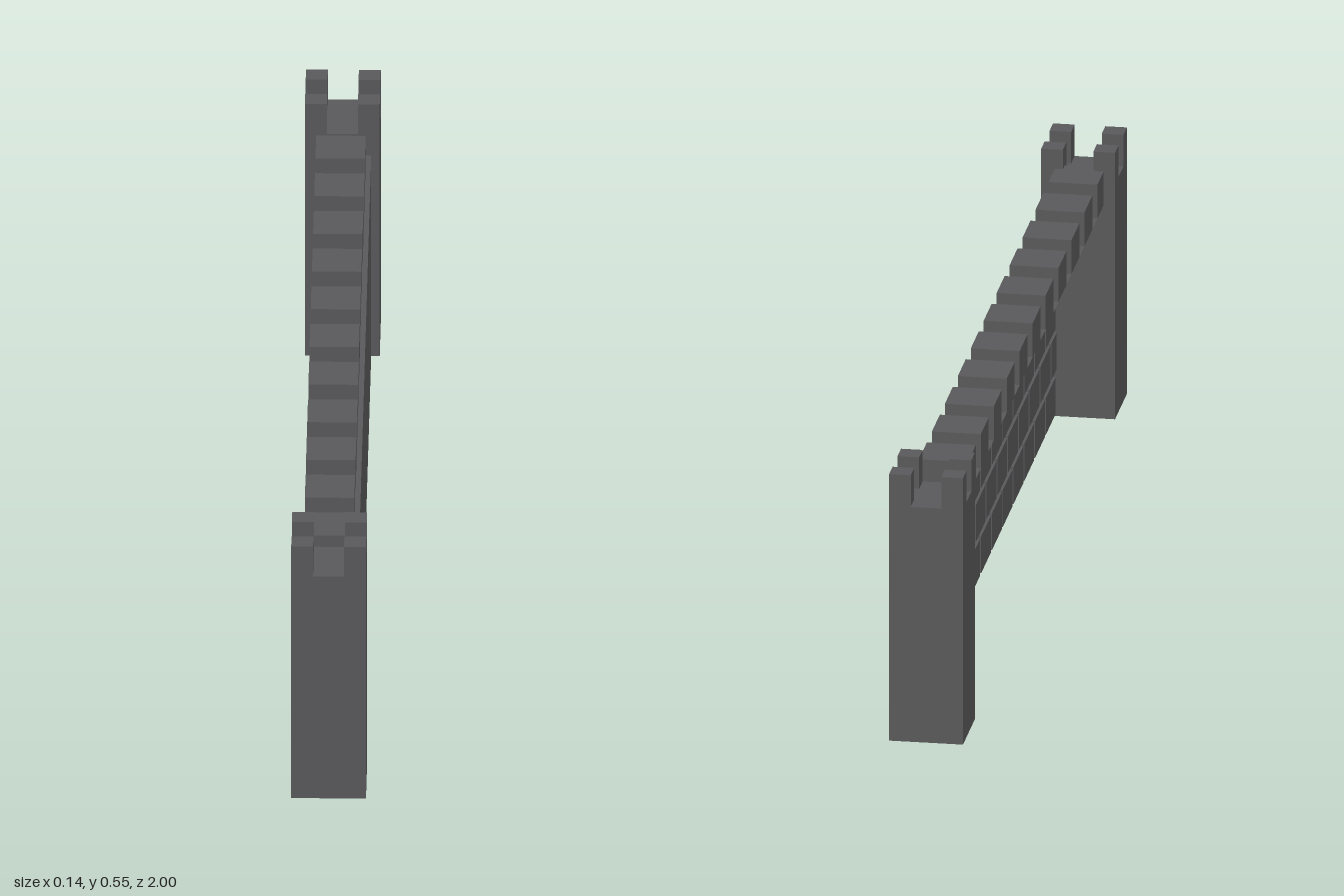
import * as THREE from 'three';

export function createModel() {
  const model = new THREE.Group();
  model.name = 'castleWall';
  const stone = new THREE.MeshStandardMaterial({ color: 0x59595b });
  stone.name = 'dark stone';
  const stoneSheet = new THREE.MeshStandardMaterial({ color: 0x59595b, side: THREE.DoubleSide });
  stoneSheet.name = 'dark stone';

  // Box given by its minimum and maximum corners
  function block(name, parent, [x0, y0, z0], [x1, y1, z1]) {
    const mesh = new THREE.Mesh(new THREE.BoxGeometry(x1 - x0, y1 - y0, z1 - z0), stone);
    mesh.position.set((x0 + x1) / 2, (y0 + y1) / 2, (z0 + z1) / 2);
    mesh.name = name;
    parent.add(mesh);
  }

  // End towers with four corner posts
  const half = 0.0725, post = 0.0425, inner = 1 - 2 * half;
  for (const side of [1, -1]) {
    const tower = new THREE.Group();
    tower.name = side > 0 ? 'frontTower' : 'backTower';
    tower.position.z = side * (1 - half);
    block('towerBody', tower, [-half, 0, -half], [half, 0.485, half]);
    for (const x of [-half, half - post]) {
      for (const z of [-half, half - post]) {
        block('cornerPost', tower, [x, 0.485, z], [x + post, 0.55, z + post]);
      }
    }
    model.add(tower);
  }

  // Thin facing wall
  const wall = new THREE.Group();
  wall.name = 'wall';
  model.add(wall);
  block('facingPlate', wall, [0.05, 0.003, -inner], [0.056, 0.438, inner]);

  // Walkway sheet, open underneath
  const walkway = new THREE.Mesh(new THREE.PlaneGeometry(0.1, 2 * inner), stoneSheet);
  walkway.rotation.x = -Math.PI / 2;
  walkway.position.y = 0.44;
  walkway.name = 'walkway';
  wall.add(walkway);

  // Merlons along the walkway
  for (let i = 0; i < 11; i++) {
    const z = 0.828 - i * 0.158;
    block('merlon', wall, [-0.05, 0.44, z - 0.048], [0.046, 0.51, z + 0.048]);
  }

  // Staggered bricks on the inner side of the facing plate
  const rows = 5, pitchY = 0.088, pitchZ = 0.1315, gap = 0.012;
  for (let r = 0; r < rows; r++) {
    const y = 0.003 + r * pitchY;
    const start = -inner - (r % 2 ? pitchZ / 2 : 0);
    for (let z = start; z < inner - gap; z += pitchZ) {
      const z0 = Math.max(z, -inner), z1 = Math.min(z + pitchZ - gap, inner);
      block('brick', wall, [0.042, y + gap / 2, z0], [0.05, y + pitchY - gap / 2, z1]);
    }
  }
  return model;
}
